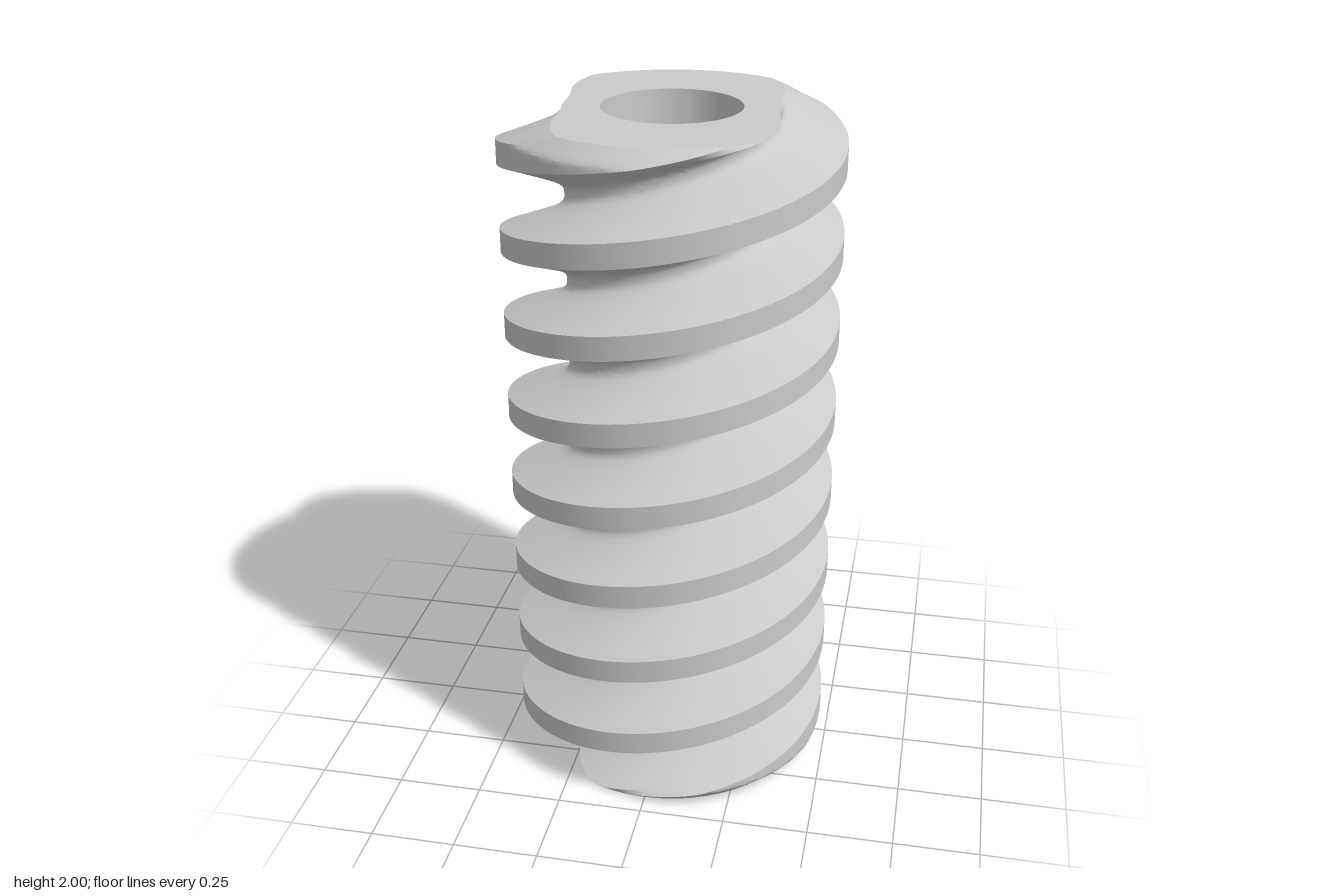
import * as THREE from 'three';
import { toCreasedNormals } from 'three/addons/utils/BufferGeometryUtils.js';

const HEIGHT = 2, PITCH = 0.2513, STARTS = 2, CREST_Y = 1.866;
const OUTER = 0.48, CHAMFER = 0.045;
const BORE = 0.17, SLOT = 0.185, COUNTERBORE = 0.195, LEDGE_Y = 1;

// Half tooth: [axial distance from the crest centre, radius]
const TOOTH = [
  [0, OUTER], [0.012, OUTER], [0.024, OUTER], [0.035, OUTER],
  [0.049, 0.4415], [0.063, 0.403], [0.077, 0.3645], [0.089, 0.3315],
  [0.098, 0.312], [0.107, 0.302], [0.116, 0.2985], [PITCH / 2, 0.298],
];

const crestHeight = (a) => CREST_Y - (STARTS * PITCH * a) / (2 * Math.PI);

// Radius of the worm at angle a and height y, with both ends chamfered
function wormRadius(a, y) {
  const d = (y - crestHeight(a)) / PITCH;
  const u = Math.abs(d - Math.round(d)) * PITCH;
  let i = 1;
  while (i < TOOTH.length - 1 && TOOTH[i][0] < u) i++;
  const [u0, r0] = TOOTH[i - 1], [u1, r1] = TOOTH[i];
  const r = r0 + ((r1 - r0) * (u - u0)) / (u1 - u0);
  return Math.min(r, OUTER - CHAMFER + Math.min(y, HEIGHT - y));
}

// Skin neighbouring columns of [radius, y] points placed around the axis
function skin(steps, column) {
  const cols = steps.map(([a, bore]) =>
    column(a, bore).map(([r, y]) => new THREE.Vector3(r * Math.cos(a), y, r * Math.sin(a))));
  const pos = [];
  const ab = new THREE.Vector3(), ac = new THREE.Vector3();
  const tri = (a, b, c) => {
    ab.subVectors(b, a);
    ac.subVectors(c, a);
    if (ab.cross(ac).length() < 1e-9) return; // skip collapsed faces
    for (const p of [a, b, c]) pos.push(p.x, p.y, p.z);
  };
  for (let i = 0; i < cols.length - 1; i++) {
    for (let j = 0; j < cols[i].length - 1; j++) {
      const a = cols[i][j], b = cols[i][j + 1], c = cols[i + 1][j + 1], d = cols[i + 1][j];
      tri(a, b, c);
      tri(a, c, d);
    }
  }
  const geo = new THREE.BufferGeometry();
  geo.setAttribute('position', new THREE.Float32BufferAttribute(pos, 3));
  return toCreasedNormals(geo, 0.6);
}

export function createModel() {
  const group = new THREE.Group();
  group.name = 'wormGear';
  const steel = new THREE.MeshStandardMaterial({ color: 0xcbcbcb });
  steel.name = 'steelGrey';
  const add = (name, geo) => {
    const mesh = new THREE.Mesh(geo, steel);
    mesh.name = name;
    group.add(mesh);
  };

  // Steps around the axis: [angle, bore radius], with a shallow slot on one side
  const steps = [];
  const arc = (from, to, n, r) => {
    for (let i = 0; i <= n; i++) steps.push([from + ((to - from) * i) / n, r]);
  };
  const slotStart = Math.PI - 0.45;
  arc(0, slotStart, 62, BORE);
  arc(slotStart, Math.PI, 10, SLOT);
  arc(Math.PI, Math.PI * 2, 72, BORE);

  // Two-start thread, cut off flat at both ends
  const offsets = [...TOOTH.slice(1).reverse().map(([u]) => -u), ...TOOTH.slice(0, -1).map(([u]) => u)];
  add('helicalThread', skin(steps, (a) => {
    const pts = [];
    for (let k = -8; k <= 3; k++) {
      for (const o of offsets) {
        const y = THREE.MathUtils.clamp(crestHeight(a) + k * PITCH + o, 0, HEIGHT);
        pts.push([wormRadius(a, y), y]);
      }
    }
    return pts;
  }));

  // Flat end faces
  add('topFace', skin(steps, (a) => [[wormRadius(a, HEIGHT), HEIGHT], [COUNTERBORE, HEIGHT]]));
  add('bottomFace', skin(steps, (a, bore) => [[bore, 0], [wormRadius(a, 0), 0]]));

  // Wide upper bore stepping in to the slotted lower bore
  add('bore', skin(steps, (a, bore) => [
    [COUNTERBORE, HEIGHT], [COUNTERBORE, LEDGE_Y], [bore, LEDGE_Y], [bore, 0],
  ]));

  return group;
}
